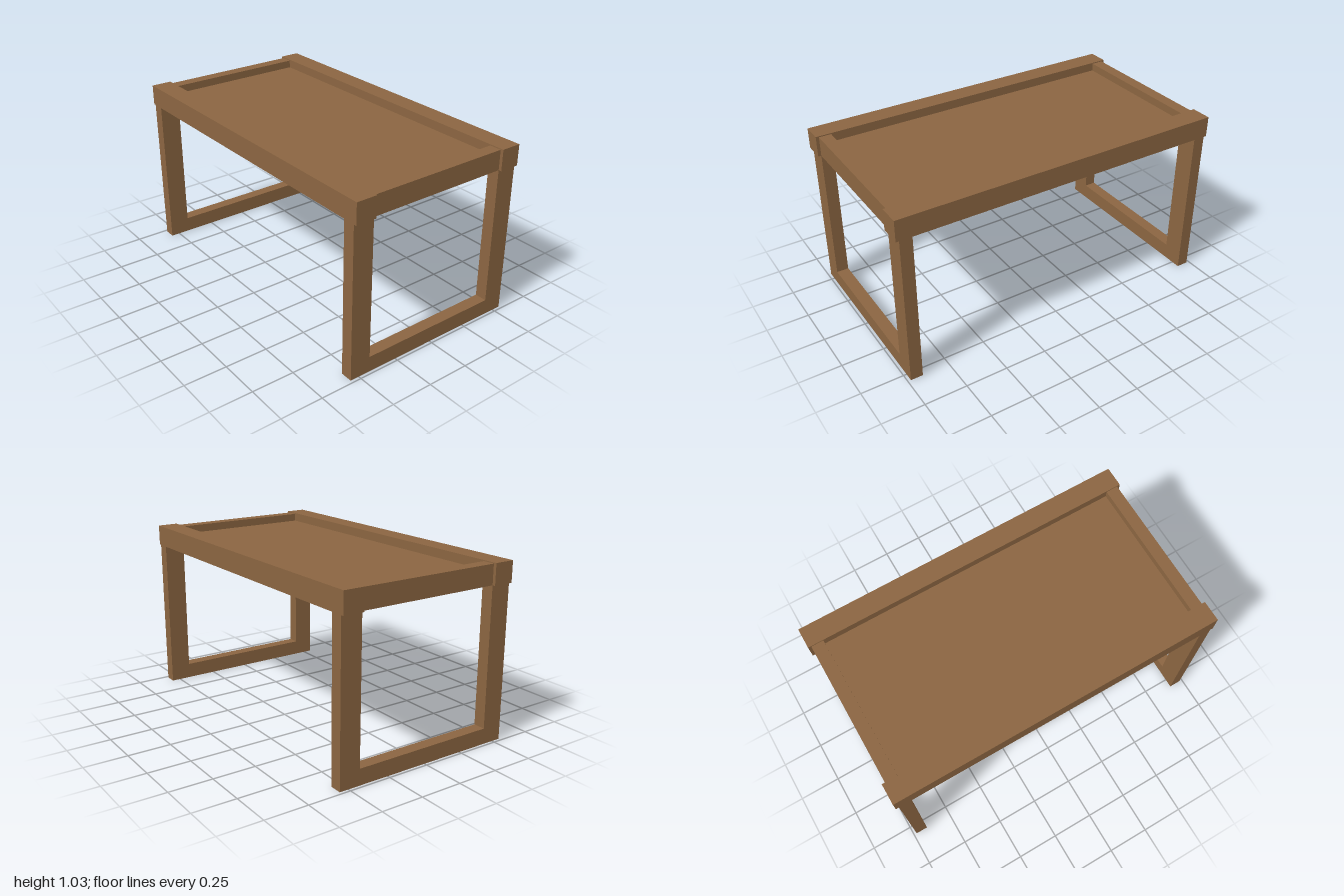
import * as THREE from 'three';

export function createModel() {
  const group = new THREE.Group();
  const wood = new THREE.MeshStandardMaterial({ color: 0x8b6541, side: THREE.DoubleSide });
  wood.name = 'brown wood';

  function add(name, geometry, x = 0, y = 0, z = 0) {
    const mesh = new THREE.Mesh(geometry, wood);
    mesh.position.set(x, y, z);
    mesh.name = name;
    group.add(mesh);
  }

  const legIn = 0.91, legOut = 0.982;   // leg frame, in x
  const railIn = 0.43, railOut = 0.553; // long rails and legs, in z
  const railY = 0.909, barTop = 0.093;  // underside of the rails, top of the floor bar
  const legX = (legIn + legOut) / 2, legW = legOut - legIn;

  // Recessed table top: one thin sheet between the rails
  add('tableTop', new THREE.PlaneGeometry(2 * legIn, 2 * railIn).rotateX(-Math.PI / 2), 0, 0.979, 0);

  // U-shaped leg frame, hollow and open along the floor
  const outline = new THREE.Shape([
    [-railOut, 0], [railOut, 0], [railOut, railY], [railIn, railY],
    [railIn, barTop], [-railIn, barTop], [-railIn, railY], [-railOut, railY],
  ].map(([z, y]) => new THREE.Vector2(z, y)));
  const frame = new THREE.ExtrudeGeometry(outline, { depth: legW, bevelEnabled: false });
  frame.translate(0, 0, -legW / 2).rotateY(Math.PI / 2);
  const pos = frame.attributes.position;
  const kept = [];
  for (let i = 0; i < pos.count; i += 3) {
    const onFloor = [0, 1, 2].every((k) => pos.getY(i + k) < 1e-4);
    if (!onFloor) kept.push(i, i + 1, i + 2);
  }
  frame.setIndex(kept);
  frame.clearGroups();

  for (const s of [1, -1]) {
    // Long rails at front and back
    add(s > 0 ? 'frontRail' : 'backRail', new THREE.BoxGeometry(2, 1.032 - railY, railOut - railIn),
      0, (1.032 + railY) / 2, s * (railIn + railOut) / 2);

    // Leg frame and short rail at each end
    const name = s > 0 ? 'left' : 'right';
    add(name + 'LegFrame', frame, s * legX);
    add(name + 'EndRail', new THREE.BoxGeometry(legW, 1.026 - railY, 2 * railIn),
      s * legX, (1.026 + railY) / 2, 0);
  }
  return group;
}
